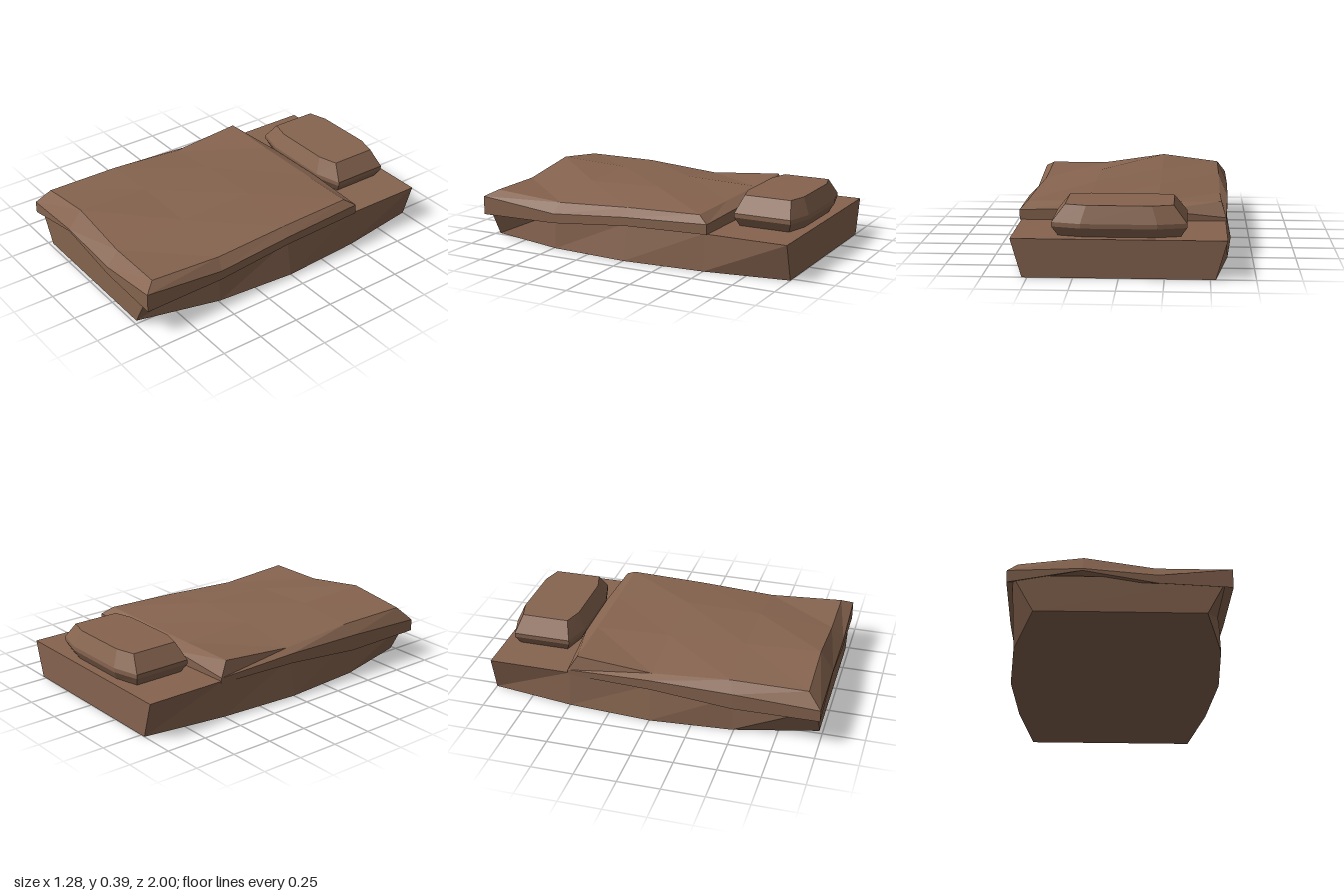
import * as THREE from 'three';

const brown = new THREE.MeshStandardMaterial({ color: 0x86644f, flatShading: true });
brown.name = 'brown';

// Faceted mesh from a flat list of triangle corners
function facetMesh(name, corners) {
  const geo = new THREE.BufferGeometry();
  geo.setAttribute('position', new THREE.Float32BufferAttribute(corners.flat(), 3));
  geo.computeVertexNormals();
  const mesh = new THREE.Mesh(geo, brown);
  mesh.name = name;
  return mesh;
}

// Joins rings of points, listed bottom to top and counterclockwise from above
function loft(rings, capTop = true) {
  const out = [];
  const n = rings[0].length;
  for (let k = 0; k < rings.length - 1; k++) {
    for (let i = 0; i < n; i++) {
      const j = (i + 1) % n;
      const a = rings[k][i], b = rings[k][j], c = rings[k + 1][j], d = rings[k + 1][i];
      out.push(a, b, c, a, c, d);
    }
  }
  const bottom = rings[0], top = rings[rings.length - 1];
  for (let i = 1; i < n - 1; i++) {
    out.push(bottom[0], bottom[i + 1], bottom[i]);
    if (capTop) out.push(top[0], top[i], top[i + 1]);
  }
  return out;
}

// Mattress base: flat top, bowed sides at the floor
function makeBase() {
  const zs = [0.98, 0.49, 0, -0.5, -1];
  const ring = (y, widths) => [
    ...zs.map((z, i) => [widths[i], y, z]),
    ...zs.map((z, i) => [-widths[i], y, z]).reverse(),
  ];
  return facetMesh('mattressBase', loft([
    ring(0, [0.475, 0.6, 0.638, 0.605, 0.53]),
    ring(0.217, [0.592, 0.592, 0.595, 0.592, 0.592]),
  ]));
}

// Blanket: wavy 4 x 4 top with a bevelled, draped rim
function makeBlanket() {
  const xs = [-0.567, -0.2, 0.2, 0.562];
  const zs = [0.92, 0.47, 0, -0.455];
  const heights = [
    [0.318, 0.365, 0.305, 0.305],
    [0.317, 0.345, 0.335, 0.277],
    [0.282, 0.332, 0.346, 0.302],
    [0.322, 0.317, 0.316, 0.316],
  ];
  const grid = heights.map((row, r) => row.map((y, c) => [xs[c], y, zs[r]]));
  // Perimeter order: front, right side, back, left side
  const order = [[0, 0], [0, 1], [0, 2], [0, 3], [1, 3], [2, 3],
    [3, 3], [3, 2], [3, 1], [3, 0], [2, 0], [1, 0]];
  const rimX = [-0.622, -0.21, 0.21, 0.62, 0.617, 0.612, 0.602, 0.2, -0.2, -0.595, -0.615, -0.622];
  const rimZ = [1, 1, 0.995, 0.99, 0.49, 0, -0.52, -0.53, -0.53, -0.51, 0, 0.49];
  const midY = [0.235, 0.255, 0.222, 0.268, 0.217, 0.255, 0.275, 0.285, 0.28, 0.237, 0.26, 0.255];
  const lowY = [0.163, 0.243, 0.172, 0.155, 0.16, 0.204, 0.216, 0.216, 0.216, 0.205, 0.2, 0.158];
  const topRing = order.map(([r, c]) => grid[r][c]);
  const midRing = rimX.map((x, i) => [x, midY[i], rimZ[i]]);
  const lowRing = rimX.map((x, i) => [x, lowY[i], rimZ[i]]);
  const underRing = topRing.map(([x, , z]) => [x, 0.21, z]);
  const corners = loft([underRing, lowRing, midRing, topRing], false);
  for (let r = 0; r < 3; r++) {
    for (let c = 0; c < 3; c++) {
      const a = grid[r][c], b = grid[r][c + 1], d = grid[r + 1][c], e = grid[r + 1][c + 1];
      corners.push(a, b, e, a, e, d);
    }
  }
  return facetMesh('blanket', corners);
}

// Pillow: stacked eight-sided rings with clipped corners
function makePillow() {
  const ring = (y, halfX, cutX, halfZ, cutZ) => [
    [cutX, halfZ], [halfX, cutZ], [halfX, -cutZ], [cutX, -halfZ],
    [-cutX, -halfZ], [-halfX, -cutZ], [-halfX, cutZ], [-cutX, halfZ],
  ].map(([x, z]) => [x, y, z - 0.755]);
  return facetMesh('pillow', loft([
    ring(0.212, 0.335, 0.19, 0.187, 0.15),
    ring(0.27, 0.372, 0.21, 0.218, 0.174),
    ring(0.295, 0.372, 0.21, 0.218, 0.174),
    ring(0.39, 0.298, 0.18, 0.175, 0.142),
  ]));
}

export function createModel() {
  const model = new THREE.Group();
  model.name = 'bedding';
  model.add(makeBase(), makeBlanket(), makePillow());
  return model;
}
